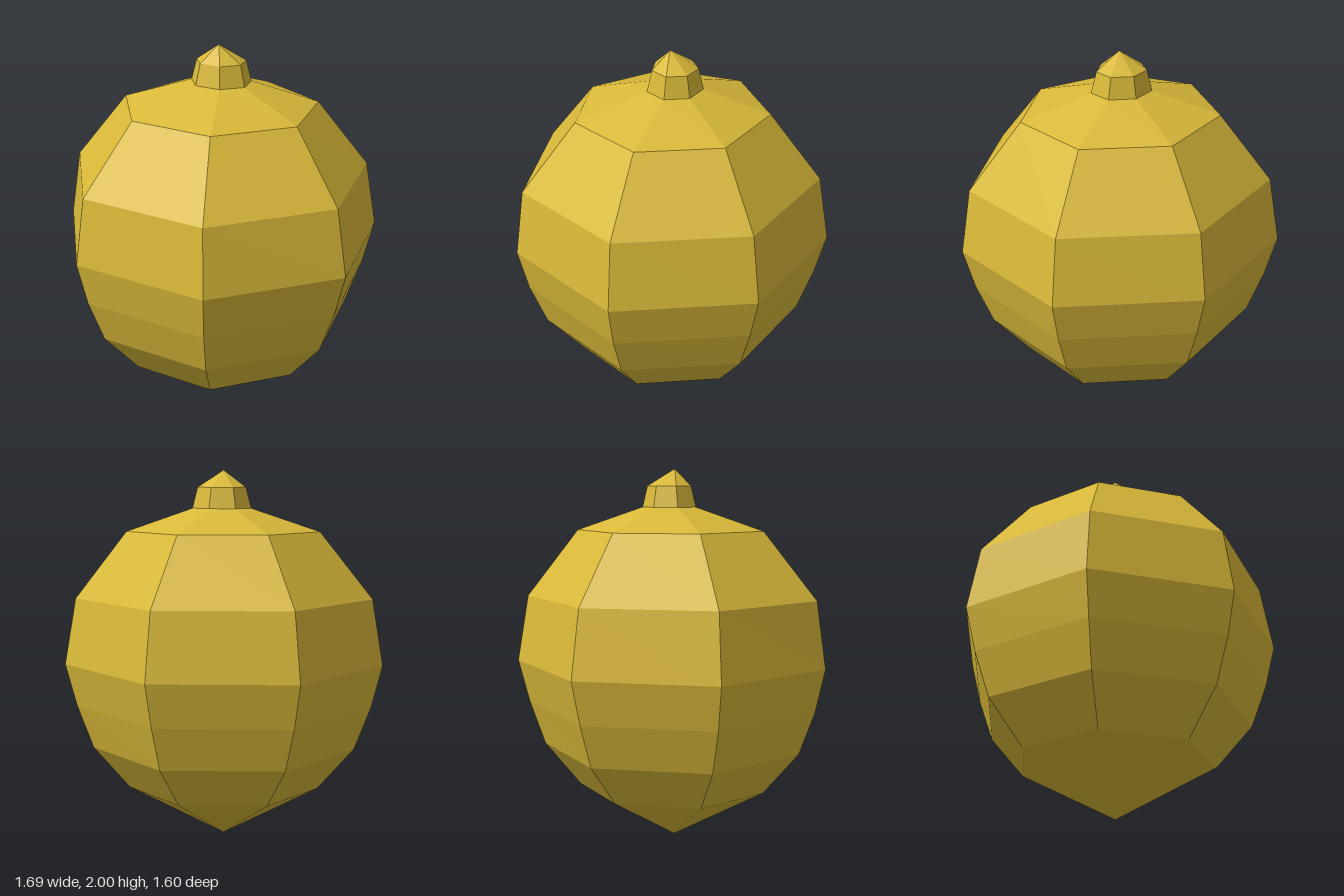
import * as THREE from 'three';

const SIDES = 7;

// Faceted skin through heptagonal rings [y, radiusX, radiusZ, centreZ]; one corner points to the back.
function facetedShell(rings) {
  const corner = ([y, rx, rz, cz], k) => {
    const a = (k / SIDES) * Math.PI * 2;
    return [rx * Math.sin(a), y, cz - rz * Math.cos(a)];
  };
  const positions = [];
  for (let i = 0; i < rings.length - 1; i++) {
    const low = rings[i], high = rings[i + 1];
    for (let k = 0; k < SIDES; k++) {
      const a = corner(low, k), b = corner(low, k + 1);
      const c = corner(high, k + 1), d = corner(high, k);
      // Skip the collapsed triangle where a ring is a point
      if (low[1] > 0) positions.push(...a, ...c, ...b);
      if (high[1] > 0) positions.push(...a, ...d, ...c);
      else positions.push(...a, ...d, ...b);
    }
  }
  // Rings that start at a point already have their fan from the second triangle
  const geometry = new THREE.BufferGeometry();
  geometry.setAttribute('position', new THREE.Float32BufferAttribute(positions, 3));
  geometry.computeVertexNormals();
  return geometry;
}

export function createModel() {
  const group = new THREE.Group();
  const mustard = new THREE.MeshStandardMaterial({ color: 0xd9b939, flatShading: true });
  mustard.name = 'mustard yellow';

  const addPart = (name, rings) => {
    const mesh = new THREE.Mesh(facetedShell(rings), mustard);
    mesh.name = name;
    group.add(mesh);
  };

  // Rounded fruit, pointed at the bottom
  addPart('fruitBody', [
    [0, 0, 0, 0.04],
    [0.29, 0.527, 0.515, 0.04],
    [0.52, 0.722, 0.707, 0.042],
    [0.75, 0.808, 0.789, 0.044],
    [0.98, 0.867, 0.844, 0.04],
    [1.33, 0.805, 0.789, 0.044],
    [1.68, 0.526, 0.508, 0.033],
    [1.8, 0.163, 0.147, 0.017],
  ]);

  // Short tapered stub with a pointed cap
  addPart('stemTip', [
    [1.8, 0.163, 0.147, 0.017],
    [1.91, 0.134, 0.121, 0.016],
    [2, 0, 0, 0.04],
  ]);

  return group;
}
